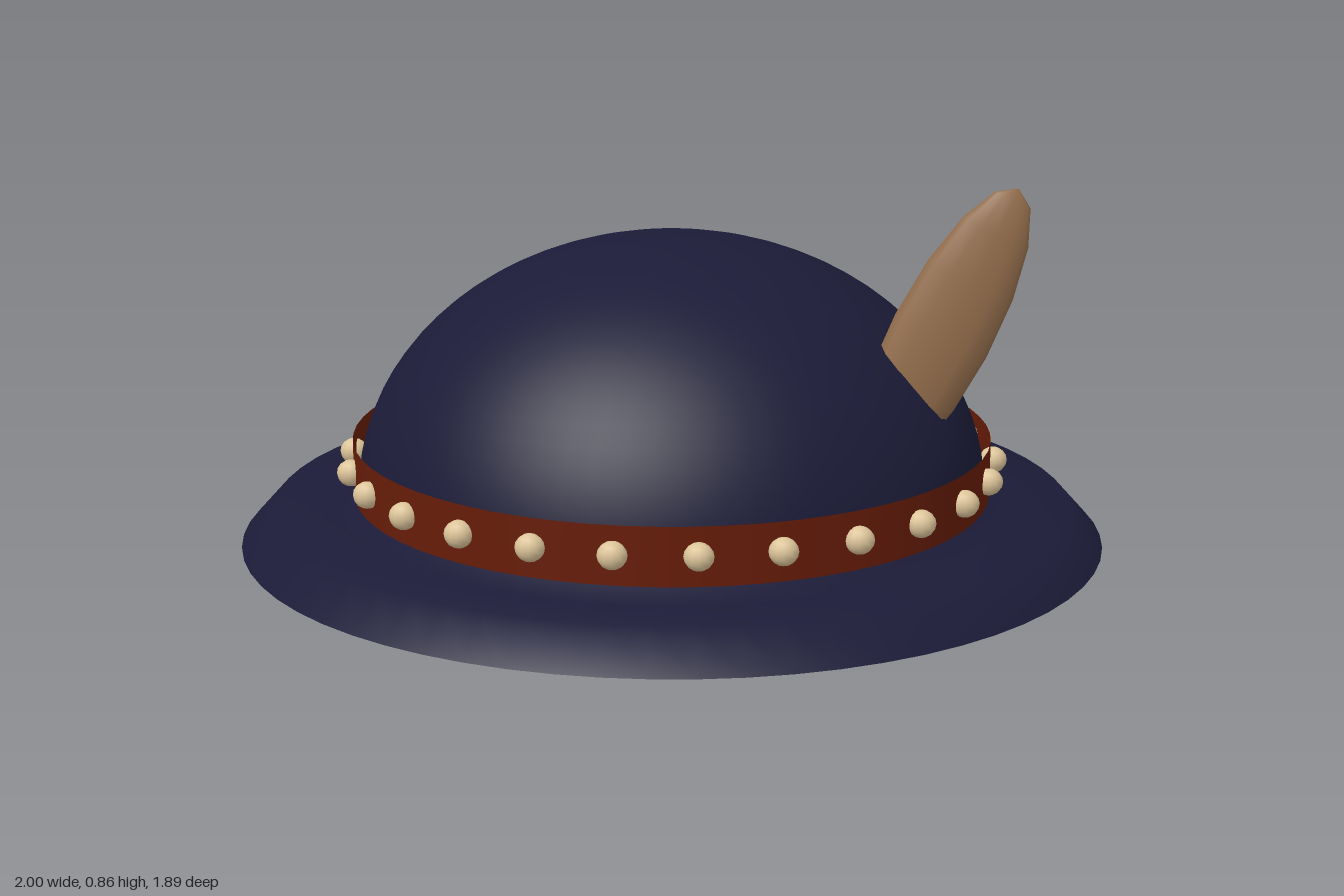
import * as THREE from 'three';

const CROWN_Z = 0.963; // the hat is slightly oval

export function createModel() {
  const hat = new THREE.Group();
  hat.name = 'hat';

  const mat = (name, color, side = THREE.FrontSide) => {
    const m = new THREE.MeshStandardMaterial({ color, side });
    m.name = name;
    return m;
  };
  const felt = mat('navy felt', 0x1b1b38, THREE.DoubleSide);
  const leather = mat('red brown leather', 0x661c08, THREE.DoubleSide);
  const metal = mat('pale brass', 0xdcc499);
  const quill = mat('tan feather', 0x946e4c);

  const add = (name, geometry, material) => {
    const mesh = new THREE.Mesh(geometry, material);
    mesh.name = name;
    hat.add(mesh);
    return mesh;
  };
  const lathe = (points) =>
    new THREE.LatheGeometry(points.map(([r, y]) => new THREE.Vector2(r, y)), 64);

  // Domed crown, an open shell
  const dome = [];
  for (let i = 0; i <= 20; i++) {
    const a = (i / 20) * Math.PI / 2;
    dome.push([i === 20 ? 0 : 0.728 * Math.cos(a), 0.105 + 0.597 * Math.sin(a)]);
  }
  add('crown', lathe(dome), felt).scale.z = CROWN_Z;

  // Brim shell: sloping rim, flat ring, short rise to the crown (radius, height, ovalness)
  const rim = [[1, 0, 0.944], [0.925, 0.083, 0.935], [0.78, 0.083, 0.966], [0.728, 0.112, CROWN_Z]];
  const brim = lathe(rim);
  const p = brim.attributes.position;
  for (let i = 0; i < p.count; i++) p.setZ(i, p.getZ(i) * rim[i % rim.length][2]);
  add('brim', brim, felt);

  // Leather band standing just clear of the crown, open at the top
  const band = lathe([[0.738, 0.11], [0.738, 0.242]]);
  add('band', band, leather).scale.z = CROWN_Z;

  // Ring of studs on the band
  const studGeometry = new THREE.SphereGeometry(0.031, 12, 8);
  const studs = 26;
  for (let i = 0; i < studs; i++) {
    const a = (i / studs) * Math.PI * 2;
    const stud = add('stud', studGeometry, metal);
    stud.position.set(0.746 * Math.cos(a), 0.179, 0.746 * CROWN_Z * Math.sin(a));
    stud.scale.set(1.05, 1, 0.88);
  }

  // Flat feather leaning outwards, its root piercing the crown
  const feather = add('feather', new THREE.SphereGeometry(1, 12, 8), quill);
  feather.scale.set(0.112, 0.367, 0.042);
  feather.position.set(0.604, 0.534, 0.235);
  feather.rotation.z = -0.45;

  return hat;
}
